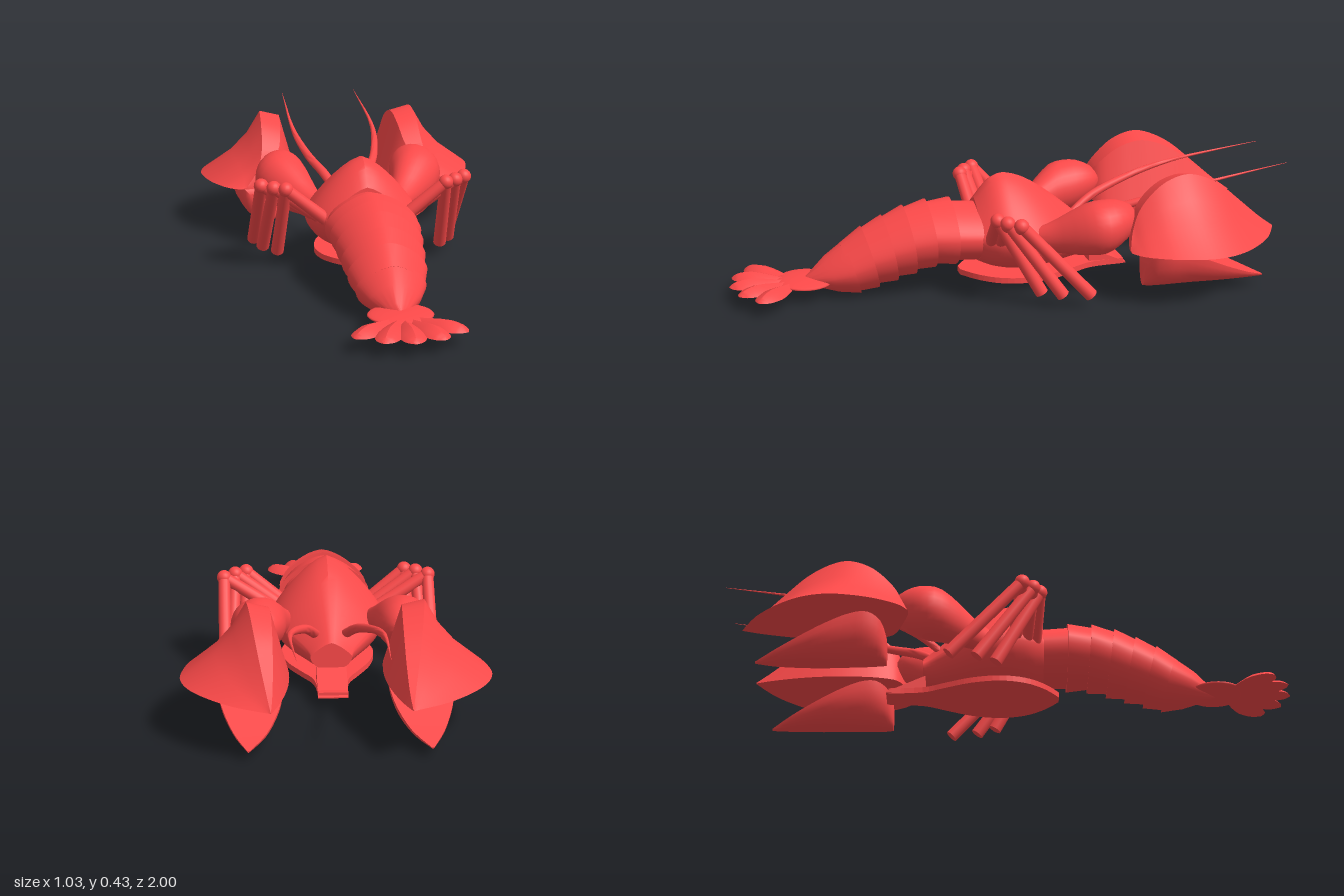
import * as THREE from 'three';
import { toCreasedNormals } from 'three/addons/utils/BufferGeometryUtils.js';

const shell = new THREE.MeshStandardMaterial({ color: 0xff4a4a, side: THREE.DoubleSide });

// Skin a list of closed [x, y, z] rings (clockwise seen from +z), capped at both ends
function loft(rings, crease = 0.6) {
  if (rings[0][0][2] > rings[rings.length - 1][0][2]) rings = rings.slice().reverse();
  const n = rings[0].length, m = rings.length, pos = rings.flat(2), index = [];
  for (let i = 0; i < m - 1; i++) {
    for (let j = 0; j < n; j++) {
      const a = i * n + j, b = i * n + (j + 1) % n;
      index.push(a, a + n, b, b, a + n, b + n);
    }
  }
  const last = (m - 1) * n;
  for (let j = 1; j < n - 1; j++) index.push(0, j, j + 1, last, last + j + 1, last + j);
  const geo = new THREE.BufferGeometry();
  geo.setAttribute('position', new THREE.Float32BufferAttribute(pos, 3));
  geo.setIndex(index);
  return toCreasedNormals(geo, crease);
}

// Insert spline-interpolated rows between the given rows of numbers
function smooth(rows, steps = 4) {
  const out = [];
  for (let i = 0; i < rows.length - 1; i++) {
    const p = rows[Math.max(i - 1, 0)], a = rows[i], b = rows[i + 1], q = rows[Math.min(i + 2, rows.length - 1)];
    for (let s = 0; s < steps; s++) {
      const t = s / steps, t2 = t * t, t3 = t2 * t;
      out.push(a.map((v, k) => v * (2 * t3 - 3 * t2 + 1) + b[k] * (3 * t2 - 2 * t3)
        + ((b[k] - p[k]) * (t3 - 2 * t2 + t) + (q[k] - v) * (t3 - t2)) / 2));
    }
  }
  return [...out, rows[rows.length - 1]];
}

// Oval ring; peak (0..1) sharpens its top into a ridge, lean tips it along z
function oval({ x = 0, z, w, top, mid, bottom, peak = 0, lean = 0 }, n = 40) {
  return Array.from({ length: n }, (_, j) => {
    const a = (j / n) * Math.PI * 2, s = Math.sin(a), c = Math.cos(a);
    const up = c * (1 - peak) + (1 - Math.abs(s) ** 1.4) * peak;
    const y = c > 0 ? mid + (top - mid) * up : mid + (mid - bottom) * c;
    return [x + w * s, y, z + lean * (y - mid)];
  });
}
const disc = (x, y, z, r, n) => oval({ x, z, w: r, top: y + r, mid: y, bottom: y - r }, n);

function add(parent, name, geo) {
  const mesh = new THREE.Mesh(geo, shell);
  mesh.name = name;
  parent.add(mesh);
  return mesh;
}

// Straight limb between two points
function rod(parent, name, a, b, r1, r2) {
  const p = new THREE.Vector3(...a), q = new THREE.Vector3(...b);
  const mesh = add(parent, name, new THREE.CylinderGeometry(r2, r1, p.distanceTo(q), 16));
  mesh.position.copy(p).add(q).multiplyScalar(0.5);
  mesh.quaternion.setFromUnitVectors(new THREE.Vector3(0, 1, 0), q.sub(p).normalize());
}

function buildBody(parent) {
  // Carapace: z, half width, bottom, middle, top
  const body = [
    [-0.3, 0.072, 0.09, 0.14, 0.19], [-0.27, 0.082, 0.08, 0.15, 0.215], [-0.2, 0.13, 0.07, 0.17, 0.275],
    [-0.13, 0.175, 0.06, 0.185, 0.33], [-0.06, 0.198, 0.055, 0.19, 0.375], [0, 0.2, 0.055, 0.195, 0.397],
    [0.04, 0.192, 0.06, 0.2, 0.397], [0.08, 0.175, 0.07, 0.2, 0.372], [0.125, 0.143, 0.09, 0.2, 0.315],
  ];
  add(parent, 'carapace', loft(smooth(body, 3).map(([z, w, bottom, mid, top]) =>
    oval({ z, w, bottom, mid, top, peak: 0.85 }))));

  // Flat belly plate, pointed at the tail end and square at the head end
  const half = smooth([[0.02, -0.18], [0.09, -0.13], [0.145, -0.06], [0.165, 0.03], [0.145, 0.13], [0.1, 0.22], [0.06, 0.3], [0.05, 0.42]]);
  const outline = [...half, ...half.slice().reverse().map(([x, y]) => [-x, y])].map((p) => new THREE.Vector2(...p));
  const plate = new THREE.ExtrudeGeometry(new THREE.Shape(outline), { depth: 0.02, bevelEnabled: false });
  add(parent, 'bellyPlate', plate.rotateX(-Math.PI / 2).translate(0, 0.036, 0));

  // Wedge under the head
  const wedge = (z, top) => [[-0.052, top, z], [0.052, top, z], [0.052, 0.038, z], [-0.052, 0.038, z]];
  add(parent, 'headWedge', loft([wedge(-0.428, 0.042), wedge(-0.29, 0.105)], 0.2));
}

function buildTail(parent) {
  // Overlapping rings, each flared at its head end: z, half width, bottom, top
  const steps = [
    [0.1, 0.145, 0.09, 0.3], [0.21, 0.157, 0.09, 0.316], [0.29, 0.152, 0.085, 0.316], [0.365, 0.145, 0.065, 0.3],
    [0.435, 0.138, 0.045, 0.27], [0.505, 0.13, 0.025, 0.235], [0.57, 0.12, 0.003, 0.19],
  ];
  const ring = ([z, w, bottom, top], k, dz = 0) => {
    const mid = (top + bottom) / 2, h = ((top - bottom) / 2) * k;
    return oval({ z: z + dz, w: w * k, mid, top: mid + h, bottom: mid - h, peak: 0.4, lean: Math.max(0, z - 0.2) * 0.8 });
  };
  for (let i = 0; i < steps.length - 1; i++) {
    add(parent, 'tailSegment', loft([ring(steps[i], i ? 1.05 : 0.98), ring(steps[i + 1], 0.93, 0.012)]));
  }
  add(parent, 'tailTip', loft([
    ring(steps[6], 1), ring([0.64, 0.088, 0.012, 0.142], 1), ring([0.7, 0.045, 0.032, 0.092], 1), ring([0.745, 0.003, 0.05, 0.06], 1),
  ]));

  // Fan
  const base = add(parent, 'fanBase', new THREE.SphereGeometry(1, 32, 12));
  base.scale.set(0.11, 0.013, 0.1);
  base.position.set(0, 0.06, 0.735);
  const petal = smooth([[0, 0.006, 0.006], [0.06, 0.017, 0.012], [0.12, 0.036, 0.021], [0.175, 0.046, 0.027],
    [0.22, 0.036, 0.02], [0.24, 0.021, 0.01], [0.25, 0.002, 0.001]], 2);
  const petalGeo = loft(petal.map(([z, w, h]) =>
    [[0, h, z], [w * 0.6, h * 0.6, z], [w, 0, z], [-w, 0, z], [-w * 0.6, h * 0.6, z]]));
  for (let i = -2; i <= 2; i++) {
    const mesh = add(parent, 'fanPetal', petalGeo);
    mesh.position.set(0, 0.055, 0.75);
    mesh.rotation.y = i * 0.41;
  }
}

function buildClaw(parent) {
  // Swelling arm: z, x, y, radius
  const arm = [
    [-0.02, 0.12, 0.19, 0.03], [-0.1, 0.168, 0.2, 0.048], [-0.17, 0.213, 0.225, 0.074], [-0.23, 0.242, 0.245, 0.092],
    [-0.28, 0.25, 0.252, 0.095], [-0.33, 0.247, 0.262, 0.082], [-0.38, 0.24, 0.27, 0.052], [-0.405, 0.235, 0.27, 0.015],
  ];
  add(parent, 'clawArm', loft(smooth(arm, 2).map(([z, x, y, r]) => disc(x, y, z, r, 28))));

  // Upper pincer: z, inner x, ridge x, outer x, top
  const upper = [
    [-0.343, 0.36, 0.37, 0.39, 0.2], [-0.365, 0.28, 0.325, 0.425, 0.26], [-0.4, 0.195, 0.304, 0.453, 0.33],
    [-0.47, 0.166, 0.297, 0.488, 0.4], [-0.55, 0.157, 0.292, 0.509, 0.432], [-0.62, 0.156, 0.284, 0.513, 0.422],
    [-0.7, 0.163, 0.272, 0.488, 0.38], [-0.78, 0.178, 0.256, 0.43, 0.312], [-0.86, 0.2, 0.238, 0.34, 0.242],
    [-0.92, 0.223, 0.225, 0.228, 0.197],
  ];
  add(parent, 'upperPincer', loft(smooth(upper).map(([z, xi, xr, xo, top]) => {
    const y = 0.194, h = top - y, mix = THREE.MathUtils.lerp;
    return [[xr, top, z], [mix(xr, xo, 0.22), y + h * 0.65, z], [mix(xr, xo, 0.5), y + h * 0.36, z],
      [xo, y, z], [xi, y, z], [mix(xi, xr, 0.45), y + h * 0.92, z]];
  }), 0.5));

  // Lower pincer, a flat-topped trough with a round belly: z, inner x, outer x, top
  const lower = [
    [-0.415, 0.25, 0.32, 0.12], [-0.435, 0.21, 0.365, 0.165], [-0.48, 0.18, 0.392, 0.188], [-0.54, 0.172, 0.395, 0.18],
    [-0.62, 0.176, 0.39, 0.147], [-0.7, 0.195, 0.373, 0.11], [-0.79, 0.235, 0.34, 0.07], [-0.86, 0.29, 0.3, 0.042],
  ];
  add(parent, 'lowerPincer', loft(smooth(lower, 3).map(([z, xi, xo, top]) => {
    const x = (xi + xo) / 2, w = (xo - xi) / 2;
    return Array.from({ length: 15 }, (_, j) => {
      const a = (j / 14) * Math.PI;
      return [x + w * Math.cos(a), top - (top - 0.036) * Math.sin(a), z];
    });
  }), 0.7));
}

function buildLegs(parent) {
  // Hip, knee and foot of each walking leg
  const legs = [
    [[0.13, 0.17, 0.02], [0.364, 0.317, 0.045], [0.364, 0.046, -0.205]],
    [[0.12, 0.17, 0.06], [0.324, 0.317, 0.083], [0.342, 0.046, -0.11]],
    [[0.11, 0.17, 0.09], [0.285, 0.317, 0.108], [0.298, 0.046, -0.045]],
  ];
  for (const [hip, knee, foot] of legs) {
    rod(parent, 'upperLeg', hip, knee, 0.024, 0.021);
    rod(parent, 'lowerLeg', knee, foot, 0.021, 0.023);
    add(parent, 'knee', new THREE.SphereGeometry(0.026, 20, 14)).position.set(...knee);
  }
}

function buildAntenna(parent) {
  // Whip: z, x, y, radius
  const whip = [
    [-0.24, 0.05, 0.2, 0.017], [-0.32, 0.085, 0.25, 0.017], [-0.42, 0.122, 0.285, 0.015], [-0.56, 0.149, 0.325, 0.011],
    [-0.7, 0.155, 0.355, 0.006], [-0.86, 0.15, 0.38, 0.003], [-1, 0.145, 0.4, 0.0006],
  ];
  add(parent, 'antenna', loft(smooth(whip).map(([z, x, y, r]) => disc(x, y, z, r, 12)), 1));
}

export function createModel() {
  const model = new THREE.Group();
  model.name = 'lobster';
  buildBody(model);
  buildTail(model);
  for (const side of [1, -1]) {
    const limbs = new THREE.Group();
    limbs.name = side > 0 ? 'leftLimbs' : 'rightLimbs';
    limbs.scale.x = side;
    buildClaw(limbs);
    buildLegs(limbs);
    buildAntenna(limbs);
    model.add(limbs);
  }
  return model;
}
